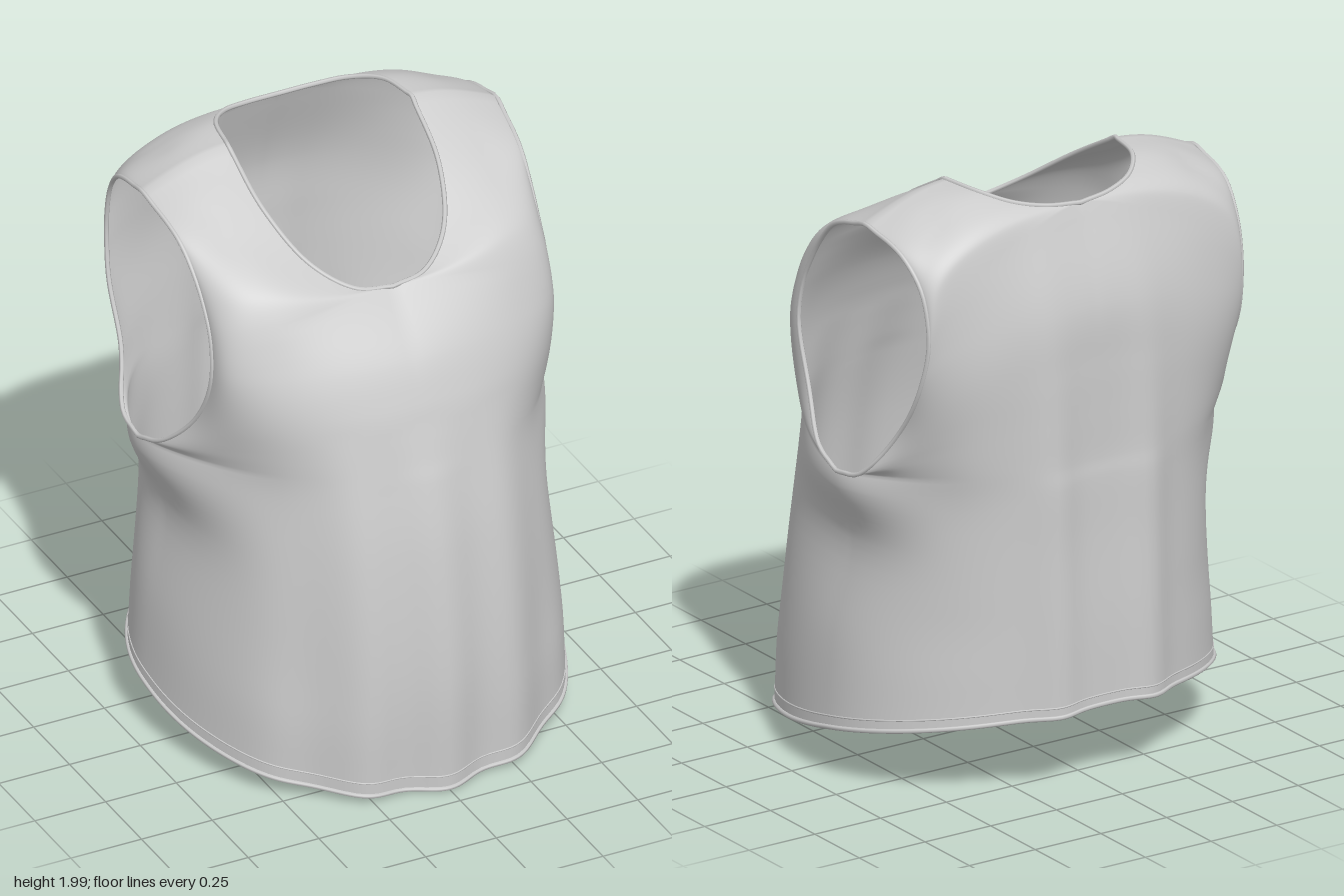
import * as THREE from 'three';
import { mergeVertices, mergeGeometries } from 'three/addons/utils/BufferGeometryUtils.js';

const ROWS = 84, COLS = 32, UNDERARM = 4 / 12, NECK = 8 / 12;
const { lerp, clamp, smoothstep } = THREE.MathUtils;
const cloth = new THREE.MeshStandardMaterial({ color: 0xcccccc, roughness: 0.9, side: THREE.DoubleSide });
const spline = pts => new THREE.CatmullRomCurve3(pts.map(p => new THREE.Vector3(...p)));
const bell = u => Math.exp(-u * u);

// Two splines joined with a corner at parameter `split`
function edge(split, lower, upper) {
  const a = spline(lower), b = spline(upper);
  return v => v <= split ? a.getPoint(v / split) : b.getPoint((v - split) / (1 - split));
}

// Edge averaged over a small window, so its corners do not crease the cloth
function soften(curve, v, reach) {
  const w = Math.min(reach, v, 1 - v), sum = new THREE.Vector3();
  for (let j = -4; j <= 4; j++) sum.add(curve(v + w * j / 4));
  return sum.divideScalar(9);
}

// Side seam shared by the front and back panels
const sideSeam = [[0.685, 0.17, -0.1], [0.66, 0.48, -0.1], [0.605, 0.8, -0.12], [0.6, 0.99, -0.15], [0.6, 1.05, -0.15]];

// Each half panel spans from the centre line and neckline to the side seam and armhole
const front = {
  sign: 1, hemRound: 2.15, round: 2.35, bulge: 0.035, lift: 0.03,
  fold: (x, v) => 0.018 * Math.max(0, 1 - v / 0.45) * Math.cos(23 * x),
  inner: edge(NECK,
    [[0, 0.01, 0.66], [0, 0.4, 0.665], [0, 0.85, 0.615], [0, 1.08, 0.565], [0, 1.15, 0.545],
      [0, 1.24, 0.52], [0, 1.34, 0.49], [0, 1.47, 0.43], [0, 1.65, 0.28]],
    [[0, 1.65, 0.28], [0.12, 1.665, 0.262], [0.235, 1.735, 0.17], [0.31, 1.86, -0.01], [0.325, 1.985, -0.23]]),
  outer: edge(UNDERARM, sideSeam,
    [[0.6, 1.05, -0.15], [0.6, 1.1, -0.02], [0.6, 1.235, 0.11], [0.595, 1.42, 0.19], [0.59, 1.56, 0.175],
      [0.59, 1.66, 0.125], [0.595, 1.75, 0.06], [0.605, 1.83, -0.03], [0.625, 1.895, -0.23]]),
};
const back = {
  sign: -1, hemRound: 2.05, round: 2.8, bulge: 0.03, lift: 0.01,
  fold: (x, v) => 0.035 * (1 - smoothstep(v, 0.2, 0.75)) * bell((x - 0.18) / 0.075),
  inner: edge(NECK,
    [[0, 0.28, -0.66], [0, 0.55, -0.655], [0, 0.85, -0.64], [0, 1.04, -0.635], [0, 1.1, -0.63],
      [0, 1.25, -0.63], [0, 1.42, -0.63], [0, 1.62, -0.62], [0, 1.925, -0.515]],
    [[0, 1.925, -0.515], [0.12, 1.935, -0.5], [0.22, 1.955, -0.46], [0.295, 1.98, -0.37], [0.325, 1.985, -0.23]]),
  outer: edge(UNDERARM, sideSeam,
    [[0.6, 1.05, -0.15], [0.6, 1.075, -0.27], [0.605, 1.235, -0.4], [0.605, 1.4, -0.5], [0.595, 1.55, -0.54],
      [0.595, 1.66, -0.535], [0.6, 1.76, -0.5], [0.615, 1.85, -0.41], [0.625, 1.895, -0.23]]),
};

// Point on a half panel: v runs hem to shoulder, t runs centre to side.
// Every row is a quarter superellipse that straightens towards the shoulder,
// pulled onto the exact edges near both of its ends.
function surface(panel, v, t) {
  const i = soften(panel.inner, v, 0.07), o = soften(panel.outer, v, 0.12);
  const body = lerp(panel.hemRound, panel.round, smoothstep(v, 0, 0.4));
  const n = lerp(body, 1.25, smoothstep(v, 0.5, 1));
  const s = t >= 1 ? 1 : Math.sin(t * Math.PI / 2), c = t >= 1 ? 0 : Math.cos(t * Math.PI / 2);
  const k = Math.pow(Math.pow(s, n) + Math.pow(c, n), -1 / n);
  const puff = Math.sin(Math.PI * t) * Math.pow(Math.sin(Math.PI * clamp((v - 0.5) / 0.5, 0, 1)), 2);
  const p = new THREE.Vector3(
    i.x + (o.x - i.x) * s * k,
    lerp(i.y, o.y, Math.pow(t, lerp(1.7, 1.4, v))) + panel.lift * puff,
    o.z + (i.z - o.z) * c * k + panel.sign * panel.bulge * puff);
  p.z += panel.sign * panel.fold(p.x, v) * c;
  p.addScaledVector(panel.inner(v).sub(i), 1 - smoothstep(t, 0, 0.5));
  p.addScaledVector(panel.outer(v).sub(o), smoothstep(t, 0.45, 1));
  // Slack cloth flaring out around the underarm
  p.x += 0.085 * bell((p.y - 1.02) / 0.15) * smoothstep(t, 0.5, 1);
  return p;
}

function halfPanel(panel, mirror) {
  const pos = [], index = [], w = COLS + 1;
  for (let r = 0; r <= ROWS; r++) {
    for (let q = 0; q <= COLS; q++) {
      const p = surface(panel, r / ROWS, q / COLS);
      pos.push(p.x * mirror, p.y, p.z);
      if (r === ROWS || q === COLS) continue;
      const a = r * w + q, b = a + 1, d = a + w, e = d + 1;
      if (panel.sign * mirror > 0) index.push(a, b, e, a, e, d);
      else index.push(a, e, b, a, d, e);
    }
  }
  const g = new THREE.BufferGeometry();
  g.setAttribute('position', new THREE.Float32BufferAttribute(pos, 3));
  g.setIndex(index);
  return g;
}

// Samples a panel along a line from (v0, t0) to (v1, t1)
function line(panel, v0, t0, v1, t1, count = 24) {
  return Array.from({ length: count }, (_, j) => surface(panel, lerp(v0, v1, j / count), lerp(t0, t1, j / count)));
}
const flip = pts => pts.map(p => new THREE.Vector3(-p.x, p.y, p.z));

// Full loop round the body from a half loop running front centre to back centre
function mirroredLoop(half, last) {
  return [...half, last, ...flip(half.slice(1)).reverse()];
}

function trim(name, pts, radius) {
  const path = new THREE.CatmullRomCurve3(pts, true);
  const mesh = new THREE.Mesh(new THREE.TubeGeometry(path, pts.length * 2, radius, 6, true), cloth);
  mesh.name = name;
  return mesh;
}

export function createModel() {
  const top = new THREE.Group();
  top.name = 'sleevelessTop';

  // Cloth: four half panels welded along the centre, side and shoulder seams
  const halves = [front, back].flatMap(p => [halfPanel(p, 1), halfPanel(p, -1)]);
  const bodyGeometry = mergeVertices(mergeGeometries(halves), 1e-4);
  bodyGeometry.computeVertexNormals();
  const body = new THREE.Mesh(bodyGeometry, cloth);
  body.name = 'clothBody';
  top.add(body);

  // Neckline binding
  const neck = [...line(front, NECK, 0, 1, 0), ...line(back, 1, 0, NECK, 0)];
  top.add(trim('neckBinding', mirroredLoop(neck, surface(back, NECK, 0)), 0.008));

  // Armhole bindings
  const arm = [...line(front, UNDERARM, 1, 1, 1), ...line(back, 1, 1, UNDERARM, 1)];
  top.add(trim('leftArmholeBinding', arm, 0.008));
  top.add(trim('rightArmholeBinding', flip(arm), 0.008));

  // Rolled hem and its stitch line
  for (const [name, v, radius] of [['hemRoll', 0, 0.008], ['hemStitching', 0.01, 0.003]]) {
    const half = [...line(front, v, 0, v, 1, 36), ...line(back, v, 1, v, 0, 36)];
    top.add(trim(name, mirroredLoop(half, surface(back, v, 0)), radius));
  }
  return top;
}
